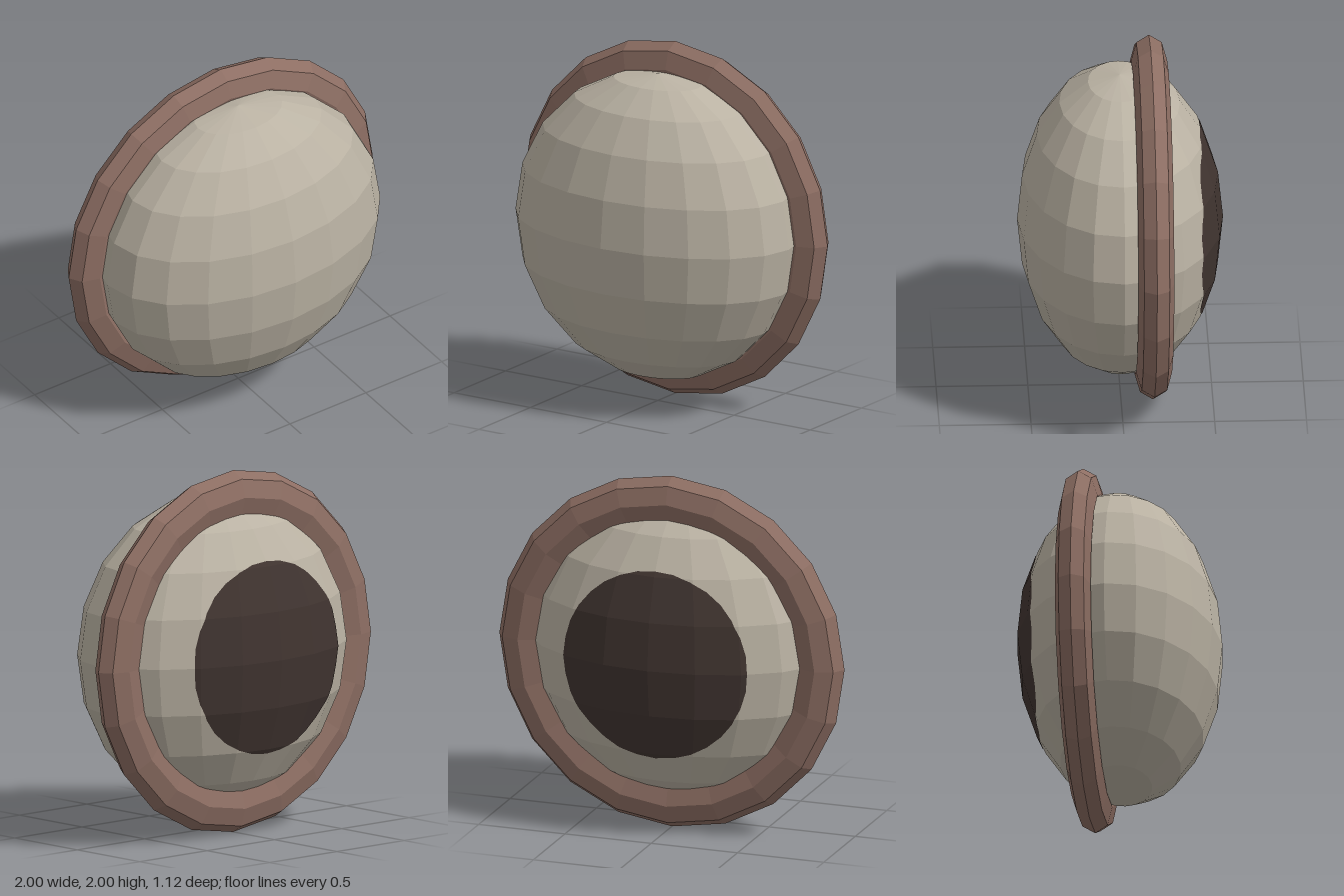
import * as THREE from 'three';

const paint = (name, color) => Object.assign(new THREE.MeshStandardMaterial({ color }), { name });

// Gives every facet its own flat normal
function faceted(geometry) {
  const flat = geometry.index ? geometry.toNonIndexed() : geometry;
  flat.computeVertexNormals();
  return flat;
}

// Cuts a polygon, keeping the side where x*cos + y*sin <= r
function clip(points, cos, sin, r) {
  const dist = (p) => p.x * cos + p.y * sin - r;
  const kept = [];
  points.forEach((a, i) => {
    const b = points[(i + 1) % points.length];
    const da = dist(a), db = dist(b);
    if (da <= 0) kept.push(a);
    if ((da < 0 && db > 0) || (da > 0 && db < 0)) kept.push(a.clone().lerp(b, da / (da - db)));
  });
  return kept;
}

// Round patch lying on the rear facets of a shell
function rearPatch(shell, radius, sides) {
  const pos = shell.attributes.position;
  const out = [];
  for (let i = 0; i < pos.count; i += 3) {
    let poly = [0, 1, 2].map((k) => new THREE.Vector3().fromBufferAttribute(pos, i + k));
    if (poly.some((p) => p.z > 0.001)) continue;
    for (let s = 0; s < sides && poly.length; s++) {
      const t = ((s + 0.5) / sides) * Math.PI * 2;
      poly = clip(poly, Math.cos(t), Math.sin(t), radius);
    }
    for (let k = 1; k + 1 < poly.length; k++) {
      for (const p of [poly[0], poly[k], poly[k + 1]]) out.push(p.x, p.y, p.z);
    }
  }
  const geometry = new THREE.BufferGeometry();
  geometry.setAttribute('position', new THREE.Float32BufferAttribute(out, 3));
  return faceted(geometry);
}

export function createModel() {
  const group = new THREE.Group();
  const add = (name, geometry, material, z = 0) => {
    const mesh = new THREE.Mesh(geometry, material);
    mesh.name = name;
    mesh.position.set(0, 1, z);
    group.add(mesh);
  };

  // Flattened round body
  const shell = faceted(new THREE.SphereGeometry(0.86, 20, 10).scale(1, 1, 0.65));
  add('body', shell, paint('warm grey', 0xbab2a3));

  // Band around the body, set behind the middle
  const band = new THREE.TorusGeometry(0.86, 0.14, 8, 20).scale(1, 1, 0.7);
  add('rimBand', faceted(band), paint('brown', 0x8d6e63), -0.17);

  // Dark round patch on the back
  add('backPatch', rearPatch(shell, 0.53, 32), paint('dark brown', 0x403430), -0.004);

  return group;
}
